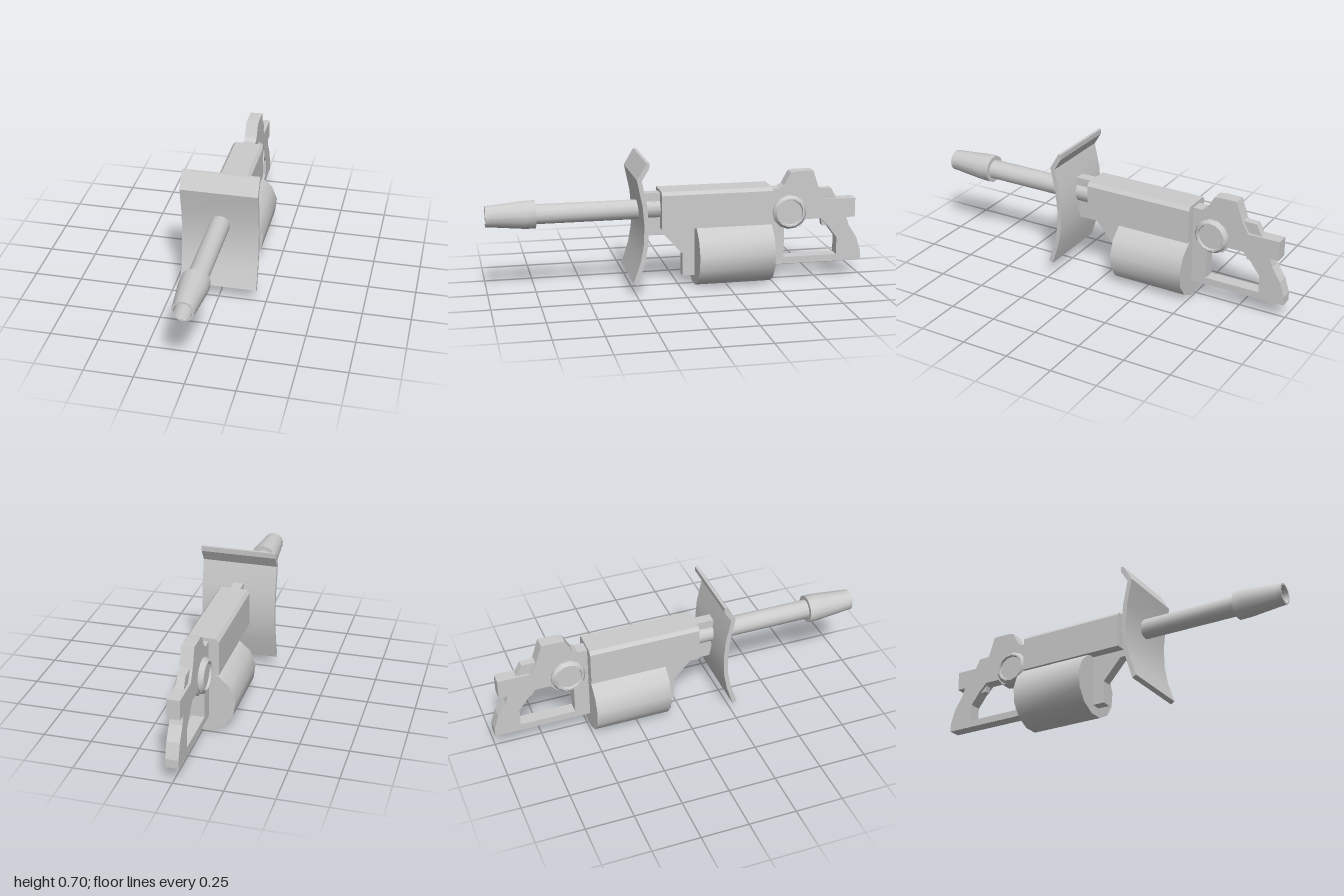
import * as THREE from 'three';
import { toCreasedNormals } from 'three/addons/utils/BufferGeometryUtils.js';

const material = new THREE.MeshStandardMaterial({ color: 0xcccccc });
const SIDES = 13;

export function createModel() {
  const model = new THREE.Group();

  function add(name, geometry, crease = 0.6) {
    const mesh = new THREE.Mesh(toCreasedNormals(geometry, crease), material);
    mesh.name = name;
    model.add(mesh);
    return mesh;
  }

  // Side profile given as [z, y] points, thickened evenly about x = 0
  function sidePlate(name, points, width, hole, crease = 0.2) {
    const shape = new THREE.Shape(points.map(p => new THREE.Vector2(...p)));
    if (hole) shape.holes.push(new THREE.Path(hole.map(p => new THREE.Vector2(...p))));
    const geometry = new THREE.ExtrudeGeometry(shape, { depth: width, bevelEnabled: false });
    geometry.translate(0, 0, -width / 2).rotateY(-Math.PI / 2);
    return add(name, geometry, crease);
  }

  // Turned part along z, profile as [radius, z] from back to front, a corner pointing up
  function turned(name, points, y) {
    const geometry = new THREE.LatheGeometry(points.map(p => new THREE.Vector2(...p)), SIDES);
    geometry.rotateX(Math.PI / 2).rotateZ(Math.PI).translate(0, y, 0);
    return add(name, geometry);
  }

  function box(name, w, y0, y1, z0, z1) {
    const geometry = new THREE.BoxGeometry(w, y1 - y0, z1 - z0);
    geometry.translate(0, (y0 + y1) / 2, (z0 + z1) / 2);
    return add(name, geometry);
  }

  // Barrel and hollow tapered muzzle
  turned('barrel', [[0, 0.1], [0.052, 0.1], [0.052, 0.76], [0, 0.76]], 0.418);
  turned('muzzle', [
    [0, 0.745], [0.074, 0.745], [0.073, 0.8], [0.057, 0.97], [0.055, 1],
    [0.046, 1], [0.045, 0.77], [0, 0.77],
  ], 0.418);

  // Ammunition drum
  turned('drum', [[0, -0.49], [0.169, -0.49], [0.169, -0.085], [0, -0.085]], 0.165);

  // Receiver with chamfered upper edges
  const section = new THREE.Shape([
    [-0.085, 0.32], [0.085, 0.32], [0.085, 0.5], [0.07, 0.518], [-0.07, 0.518], [-0.085, 0.5],
  ].map(p => new THREE.Vector2(...p)));
  const receiver = new THREE.ExtrudeGeometry(section, { depth: 0.59, bevelEnabled: false });
  add('receiver', receiver.translate(0, 0, -0.49));

  // Curved shield, bent back at the top
  sidePlate('shield', [
    [0.185, 0.7], [0.2, 0.7], [0.25, 0.615], [0.222, 0.48], [0.213, 0.38], [0.216, 0.28],
    [0.232, 0.19], [0.27, 0.075], [0.248, 0.063], [0.21, 0.185], [0.193, 0.28],
    [0.19, 0.38], [0.198, 0.48], [0.225, 0.61], [0.187, 0.672],
  ], 0.4, null, 0.4);

  // Front bracket behind the shield, running down ahead of the drum
  sidePlate('frontBracket', [
    [0.2, 0.505], [0.1, 0.505], [-0.2, 0.45], [-0.2, 0.1], [-0.085, 0.05], [-0.02, 0.05],
    [-0.02, 0.17], [0.08, 0.282], [0.18, 0.282], [0.2, 0.38],
  ], 0.055);
  box('bracketRail', 0.064, 0.385, 0.458, 0.09, 0.2);

  // Rear frame and grip, with the hand opening
  sidePlate('rearFrame', [
    [-0.48, 0.5], [-0.54, 0.5], [-0.565, 0.515], [-0.602, 0.583], [-0.635, 0.588],
    [-0.725, 0.588], [-0.757, 0.49], [-0.793, 0.428], [-0.962, 0.428], [-0.962, 0.325],
    [-0.915, 0.325], [-0.93, 0.28], [-0.975, 0.21], [-1, 0.13], [-1, 0.085], [-0.48, 0.085],
  ], 0.066, [
    [-0.57, 0.122], [-0.863, 0.122], [-0.863, 0.215], [-0.81, 0.285], [-0.77, 0.325],
    [-0.69, 0.325], [-0.66, 0.29], [-0.57, 0.285],
  ]);

  // Hammer and trigger
  sidePlate('hammer', [
    [-0.74, 0.488], [-0.83, 0.486], [-0.865, 0.42], [-0.74, 0.42],
  ], 0.04);
  sidePlate('trigger', [
    [-0.775, 0.335], [-0.835, 0.335], [-0.82, 0.278], [-0.785, 0.282],
  ], 0.035);

  // Round pivot hub, recessed on both faces
  const hub = new THREE.LatheGeometry([
    [0, -0.048], [0.066, -0.048], [0.07, -0.06], [0.078, -0.06], [0.092, -0.042],
    [0.092, 0.042], [0.078, 0.06], [0.07, 0.06], [0.066, 0.048], [0, 0.048],
  ].map(p => new THREE.Vector2(...p)), SIDES);
  add('pivotHub', hub.rotateZ(-Math.PI / 2).translate(0, 0.37, -0.597));

  return model;
}
